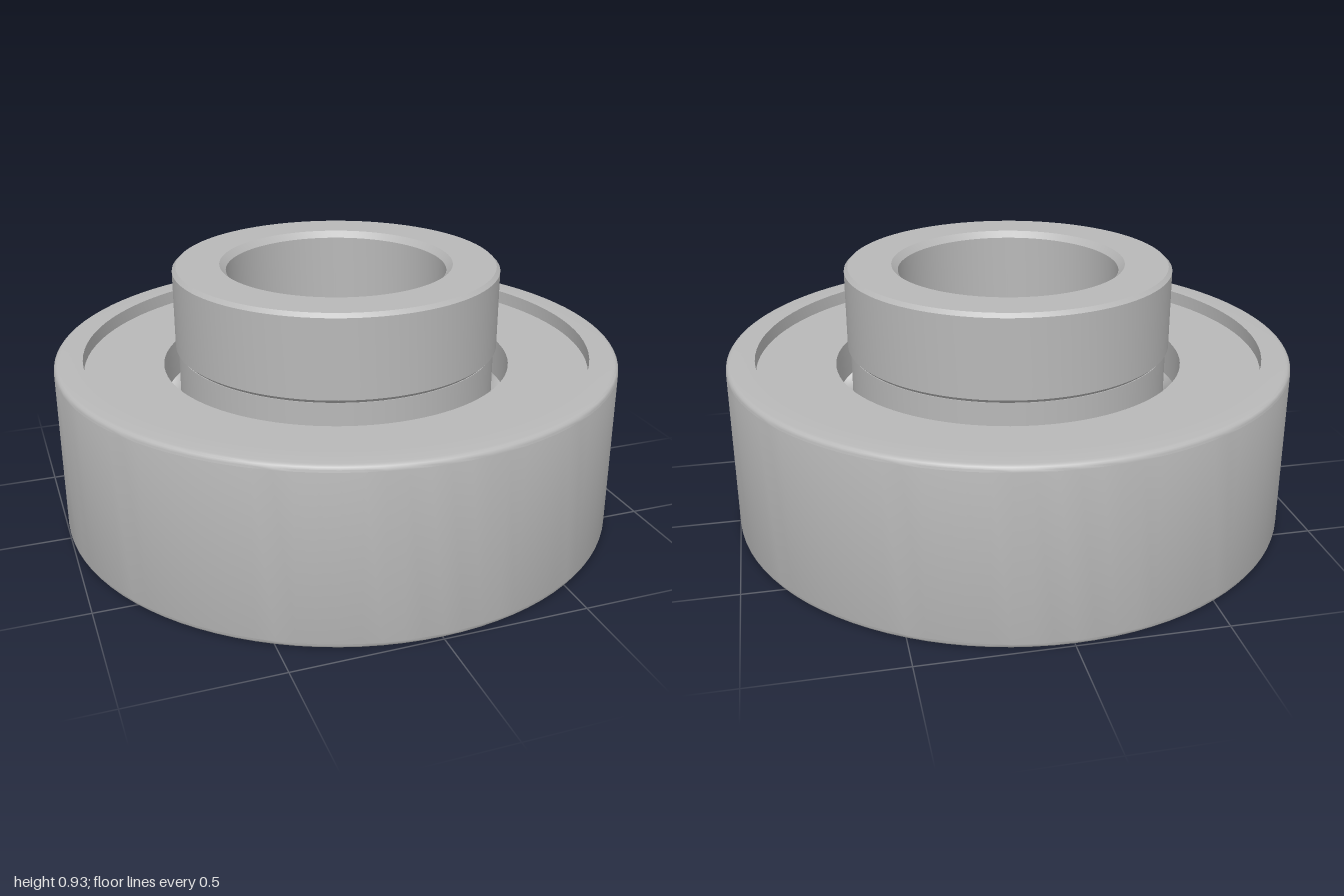
import * as THREE from 'three';
import { toCreasedNormals } from 'three/addons/utils/BufferGeometryUtils.js';

const MID = 0.31, BALL_ORBIT = 0.73, BALL_R = 0.16, GROOVE_R = 0.165;

// points along an arc in the (radius, height) plane
function arc(cx, cy, r, from, to, steps) {
  return Array.from({ length: steps + 1 }, (_, i) => {
    const a = from + (to - from) * i / steps;
    return [cx + r * Math.cos(a), cy + r * Math.sin(a)];
  });
}

// closed profile, counter-clockwise, spun into a crisp-edged ring
function ring(name, profile, material) {
  const points = [...profile, profile[0]].map(([r, y]) => new THREE.Vector2(r, y));
  const mesh = new THREE.Mesh(toCreasedNormals(new THREE.LatheGeometry(points, 96), 0.5), material);
  mesh.name = name;
  return mesh;
}

export function createModel() {
  const steel = new THREE.MeshStandardMaterial({ color: 0xb8b8b8 });
  steel.name = 'steel grey';
  const group = new THREE.Group();
  group.name = 'ballBearing';

  // outer ring: rounded rim, recessed side faces, ball groove inside
  const g = Math.acos((0.62 - BALL_ORBIT) / GROOVE_R);
  group.add(ring('outerRing', [
    [0.62, 0.05], [0.9, 0.05], [0.9, 0],
    ...arc(0.98, 0.02, 0.02, -Math.PI / 2, 0, 4),
    ...arc(0.98, 0.6, 0.02, 0, Math.PI / 2, 4),
    [0.9, 0.62], [0.9, 0.57], [0.62, 0.57],
    ...arc(BALL_ORBIT, MID, GROOVE_R, g, -g, 20),
  ], steel));

  // inner ring with a small step under the collar
  group.add(ring('innerRing', [
    [0.388, 0], [0.565, 0], [0.565, 0.625], [0.41, 0.625], [0.388, 0.603],
  ], steel));

  // locking collar with chamfered edges
  group.add(ring('collar', [
    [0.388, 0.645], [0.408, 0.625], [0.562, 0.625], [0.575, 0.638],
    [0.575, 0.913], [0.562, 0.926], [0.41, 0.926], [0.388, 0.904],
  ], steel));

  // ten balls between the rings
  const balls = new THREE.Group();
  balls.name = 'balls';
  const sphere = new THREE.SphereGeometry(BALL_R, 32, 20);
  for (let i = 0; i < 10; i++) {
    const a = THREE.MathUtils.degToRad(25 + 36 * i);
    const ball = new THREE.Mesh(sphere, steel);
    ball.name = 'ball';
    ball.position.set(Math.sin(a) * BALL_ORBIT, MID, -Math.cos(a) * BALL_ORBIT);
    balls.add(ball);
  }
  group.add(balls);
  return group;
}
